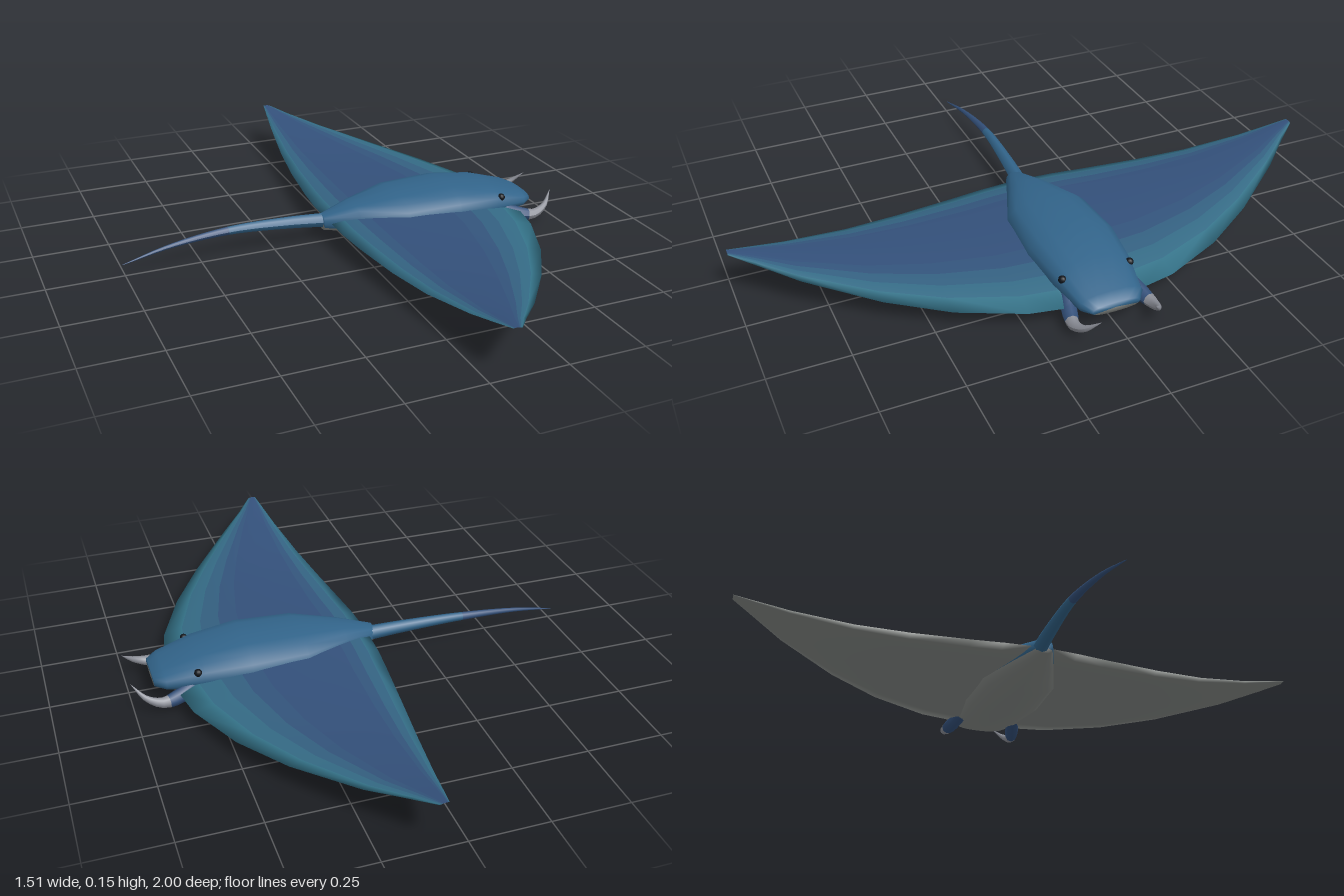
import * as THREE from 'three';

const TEAL = 0x35748a, NAVY = 0x33507a, BELLY = 0x868a87, BLUE = 0x32648a, HORN = 0x8c8f98;
const paint = (color) => new THREE.MeshStandardMaterial({ color, roughness: 0.8 });

// Skin closed rings of points; each column of faces gets its own colour.
function loft(name, rings, columnColors, flip = false) {
  const m = rings[0].length;
  const geometry = new THREE.BufferGeometry().setFromPoints(rings.flat());
  const index = [], materials = [];
  for (let j = 0; j < m; j++) {
    geometry.addGroup(index.length, (rings.length - 1) * 6, j);
    materials.push(paint(columnColors[j]));
    for (let i = 0; i < rings.length - 1; i++) {
      const a = i * m + j, b = a + m, d = i * m + (j + 1) % m, c = d + m;
      index.push(...(flip ? [a, d, b, b, d, c] : [a, b, d, b, c, d]));
    }
  }
  geometry.setIndex(index);
  geometry.computeVertexNormals();
  const mesh = new THREE.Mesh(geometry, materials);
  mesh.name = name;
  return mesh;
}

// Tube along a curve whose radius follows a rule; the colour changes at "split".
function taper(name, points, radius, segments, sides, colors, split) {
  const curve = new THREE.CatmullRomCurve3(points.map((p) => new THREE.Vector3(...p)));
  const geometry = new THREE.TubeGeometry(curve, segments, 1, sides);
  const pos = geometry.attributes.position, v = new THREE.Vector3();
  for (let k = 0; k < pos.count; k++) {
    const t = Math.floor(k / (sides + 1)) / segments;
    const centre = curve.getPointAt(t);
    v.fromBufferAttribute(pos, k).sub(centre).multiplyScalar(radius(t)).add(centre);
    pos.setXYZ(k, v.x, v.y, v.z);
  }
  geometry.computeVertexNormals();
  const cut = Math.round(split * segments) * sides * 6;
  geometry.addGroup(0, cut, 0);
  geometry.addGroup(cut, geometry.index.count - cut, 1);
  const mesh = new THREE.Mesh(geometry, colors.map(paint));
  mesh.name = name;
  return mesh;
}

// Body stations: x, half width, bottom y, top y (the ends close to a point).
function makeBody() {
  const stations = [
    [-0.08, 0, 0.07, 0.07], [-0.08, 0.03, 0.045, 0.097], [0.03, 0.077, 0.028, 0.125],
    [0.18, 0.14, 0.006, 0.148], [0.37, 0.15, 0, 0.154], [0.52, 0.131, 0.015, 0.135],
    [0.64, 0.105, 0.036, 0.097], [0.675, 0.078, 0.047, 0.08], [0.675, 0, 0.063, 0.063],
  ];
  const sides = 16;
  const squash = (s) => Math.sign(s) * Math.abs(s) ** 0.8;
  const rings = stations.map(([x, w, lo, hi]) => Array.from({ length: sides }, (_, j) => {
    const a = (j / sides) * Math.PI * 2;
    return new THREE.Vector3(x, (lo + hi) / 2 + squash(Math.sin(a)) * (hi - lo) / 2,
      squash(Math.cos(a)) * w);
  }));
  const colors = rings[0].map((_, j) => (j >= 9 && j <= 14 ? BELLY : BLUE));
  return loft('body', rings, colors);
}

// Wing stations: z, trailing x, leading x, trailing y, leading y, thickness.
function makeWing(side) {
  const stations = [
    [0.03, -0.06, 0.61, 0.075, 0.048, 0.036], [0.13, -0.058, 0.607, 0.072, 0.048, 0.036],
    [0.24, -0.048, 0.585, 0.07, 0.047, 0.034], [0.44, -0.025, 0.5, 0.072, 0.054, 0.029],
    [0.62, 0, 0.39, 0.083, 0.07, 0.023], [0.82, 0.032, 0.24, 0.113, 0.102, 0.014],
    [0.93, 0.05, 0.145, 0.137, 0.13, 0.008], [1, 0.062, 0.09, 0.153, 0.15, 0.002],
  ];
  const chord = [0, 0.06, 0.12, 0.18, 0.3, 0.45, 0.6, 0.7, 0.8, 0.9, 1];
  const bulge = (t) => (4 * t * (1 - t)) ** 0.65;
  const lerp = THREE.MathUtils.lerp;
  const rings = stations.map(([z, xT, xL, yT, yL, th]) => {
    const at = (t, s) => new THREE.Vector3(lerp(xT, xL, t), lerp(yT, yL, t) + s * th * bulge(t), z * side);
    return [...chord.map((t) => at(t, 1)), ...chord.slice(1, -1).reverse().map((t) => at(t, -0.6))];
  });
  // Teal edges blend into a navy middle on top; the underside is pale.
  const colors = rings[0].map((_, j) => {
    if (j >= chord.length - 1) return BELLY;
    const t = (chord[j] + chord[j + 1]) / 2;
    const edge = Math.max(1 - t / 0.17, (t - 0.62) / 0.33, 0);
    return new THREE.Color(NAVY).lerp(new THREE.Color(TEAL), Math.min(edge, 1));
  });
  return loft(side > 0 ? 'leftWing' : 'rightWing', rings, colors, side < 0);
}

export function createModel() {
  const model = new THREE.Group();
  model.name = 'mantaRay';
  model.add(makeBody());

  // Whip tail
  model.add(taper('tail',
    [[-0.04, 0.07, -0.008], [-0.2, 0.08, -0.018], [-0.4, 0.083, -0.026], [-0.6, 0.066, -0.018], [-0.755, 0.036, -0.006]],
    (t) => 0.025 * (1 - t) ** 0.9 + 0.001, 20, 8, [BLUE, NAVY], 0.5));

  for (const side of [1, -1]) {
    model.add(makeWing(side));

    // Curled head fins beside the mouth
    model.add(taper(side > 0 ? 'leftHeadFin' : 'rightHeadFin',
      [[0.55, 0.055, 0.1], [0.605, 0.033, 0.118], [0.66, 0.027, 0.13], [0.71, 0.047, 0.12], [0.75, 0.088, 0.088]]
        .map(([x, y, z]) => [x, y, z * side]),
      (t) => 0.024 * Math.min(1, 1.45 * (1 - t)) + 0.0005, 12, 8, [NAVY, HORN], 0.4));

    // Eyes
    const eye = new THREE.Mesh(new THREE.SphereGeometry(0.013, 10, 8), paint(0x10141a));
    eye.name = side > 0 ? 'leftEye' : 'rightEye';
    eye.position.set(0.54, 0.102, 0.112 * side);
    model.add(eye);
  }
  return model;
}
